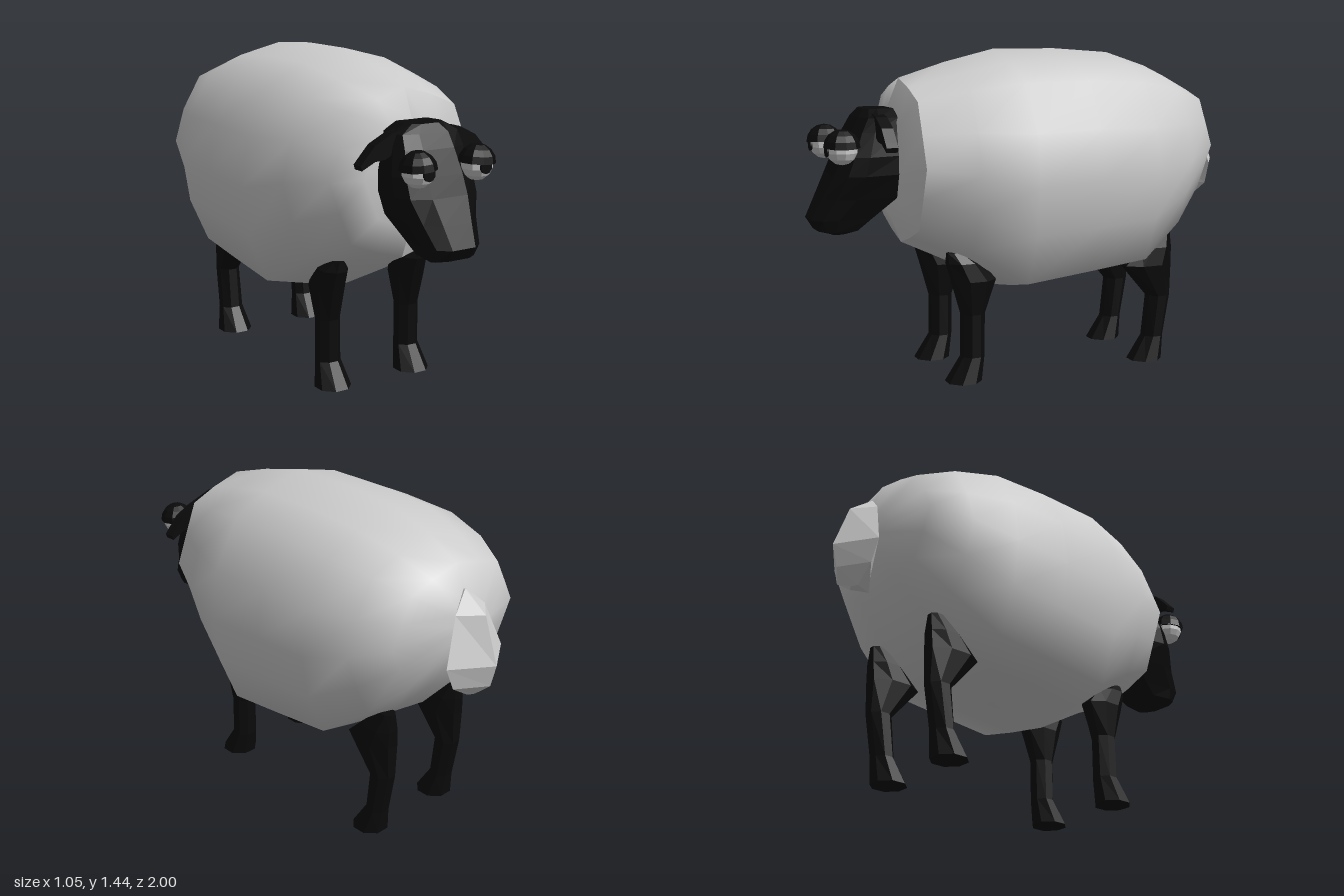
import * as THREE from 'three';

const mat = (name, color) => Object.assign(new THREE.MeshStandardMaterial({ color }), { name });

// Closed skin over rings of [x, y, z] points, capped at both ends
function loft(rings) {
  const n = rings[0].length, pos = rings.flat(2), idx = [];
  for (let r = 0; r < rings.length - 1; r++)
    for (let i = 0; i < n; i++) {
      const a = r * n + i, b = r * n + (i + 1) % n;
      idx.push(a, b, b + n, a, b + n, a + n);
    }
  [0, rings.length - 1].forEach((r, end) => {
    const c = pos.length / 3;
    for (let k = 0; k < 3; k++) pos.push(rings[r].reduce((s, p) => s + p[k], 0) / n);
    for (let i = 0; i < n; i++) {
      const a = r * n + i, b = r * n + (i + 1) % n;
      end ? idx.push(a, b, c) : idx.push(b, a, c);
    }
  });
  // Turn the faces outward by the sign of the enclosed volume
  const v = i => new THREE.Vector3().fromArray(pos, i * 3);
  let vol = 0;
  for (let i = 0; i < idx.length; i += 3) vol += v(idx[i]).dot(v(idx[i + 1]).cross(v(idx[i + 2])));
  if (vol < 0) idx.reverse();
  const g = new THREE.BufferGeometry();
  g.setAttribute('position', new THREE.Float32BufferAttribute(pos, 3));
  g.setIndex(idx);
  return g;
}

function faceted(geo) {
  const g = geo.index ? geo.toNonIndexed() : geo;
  g.computeVertexNormals();
  return g;
}

export function createModel() {
  const model = new THREE.Group();
  model.name = 'sheep';
  const wool = mat('wool', 0xcccccc), black = mat('blackSkin', 0x0a0a0a), white = mat('eyeGrey', 0xc8c8c8);
  const add = (name, geo, material, parent = model) => {
    const m = new THREE.Mesh(geo, material);
    m.name = name;
    parent.add(m);
    return m;
  };

  // Fleece: half sections, octagonal at the ends and flat-bellied in the middle
  const endShape = [[0, 1], [.38, .89], [.71, .75], [.86, .37], [1, 0], [.86, -.37], [.71, -.75], [.37, -.89], [0, -1]];
  const midShape = [[0, 1], [.4, .9], [.71, .75], [.94, .36], [1, -.05], [.94, -.45], [.77, -.85], [.4, -.93], [0, -1]];
  // z, top, bottom, half width, blend towards the middle shape
  const bodyRings = [
    [-.837, 1.12, .90, .13, 0], [-.77, 1.275, .74, .365, 0], [-.62, 1.355, .58, .46, .5],
    [-.42, 1.42, .44, .52, 1], [-.15, 1.44, .405, .523, 1], [.15, 1.44, .37, .523, 1],
    [.38, 1.385, .5, .46, .5], [.59, 1.32, .6, .365, 0], [.645, 1.19, .74, .23, 0],
  ].map(([z, top, bot, w, t]) => {
    const half = endShape.map(([x, y], i) => [
      w * THREE.MathUtils.lerp(x, midShape[i][0], t),
      (top + bot) / 2 + (top - bot) / 2 * THREE.MathUtils.lerp(y, midShape[i][1], t), z]);
    return [...half, ...half.slice(1, -1).reverse().map(([x, y, d]) => [-x, y, d])];
  });
  const body = loft(bodyRings), p = body.attributes.position, all = body.index.array;
  const skin = [], chest = [];
  for (let i = 0; i < all.length; i += 3) {
    const tri = [all[i], all[i + 1], all[i + 2]];
    const mean = f => tri.reduce((s, k) => s + f(k), 0) / 3;
    (mean(k => p.getZ(k)) > .6 && mean(k => p.getX(k)) > 0 ? chest : skin).push(...tri);
  }
  // The left chest panel keeps a hard edge, the rest is smooth
  [['fleece', skin], ['leftChest', chest]].forEach(([name, index]) => {
    const g = body.clone();
    g.setIndex(index);
    g.computeVertexNormals();
    add(name, g, wool);
  });

  // Tail: y, ridge z, side z, half width
  add('tail', faceted(loft([
    [.735, -.9, -.885, .03], [.8, -.975, -.89, .13], [.9, -1, -.885, .17],
    [1.1, -.93, -.85, .09], [1.18, -.825, -.82, .005],
  ].map(([y, back, side, w]) => [[0, y, back], [w, y, side], [0, y, -.81], [-w, y, side]]))), wool);

  // Head: y, back z, front z, half width
  add('head', faceted(loft([
    [.665, .86, .92, .085], [.68, .81, .97, .11], [.73, .75, 1, .125], [.82, .64, .955, .155],
    [.92, .635, .905, .193], [1, .635, .87, .193], [1.1, .635, .825, .17], [1.16, .635, .79, .16], [1.195, .64, .765, .09],
  ].map(([y, b, f, w]) => {
    const m = f - (f - b) * .4;
    const half = [[w * .45, y, f], [w * .85, y, f - (f - b) * .15], [w, y, m], [w * .85, y, b]];
    return [...half, ...half.slice().reverse().map(([x, h, z]) => [-x, h, z])];
  }))), black);

  const earShape = new THREE.Shape([[.1, 1.18], [.17, 1.165], [.25, 1.125], [.3, 1.07], [.318, 1.05],
    [.312, 1.03], [.25, 1.06], [.2, 1.065], [.15, 1.09]].map(q => new THREE.Vector2(...q)));
  const earGeo = new THREE.ExtrudeGeometry(earShape, { depth: .05, bevelEnabled: false });

  // Legs: y, centre z, half depth, half width
  const legGeo = rows => faceted(loft(rows.map(([y, z, d, w]) =>
    Array.from({ length: 8 }, (_, i) => {
      const a = (i + .5) * Math.PI / 4, k = 1 / Math.cos(Math.PI / 8);
      return [w * k * Math.cos(a), y, z + d * k * Math.sin(a)];
    }))));
  const frontLeg = legGeo([[0, .38, .075, .075], [.11, .337, .049, .053], [.3, .335, .05, .051],
    [.45, .33, .095, .07], [.53, .375, .075, .06], [.575, .41, .04, .025]]);
  const hindLeg = legGeo([[0, -.525, .075, .075], [.11, -.565, .046, .053], [.3, -.592, .053, .051],
    [.45, -.528, .117, .07], [.53, -.57, .078, .06], [.61, -.612, .033, .03]]);

  for (const [side, s] of [['left', 1], ['right', -1]]) {
    for (const [name, geo] of [['FrontLeg', frontLeg], ['HindLeg', hindLeg]])
      add(side + name, geo, black).position.x = s * .21;

    // Ears, each turned rather than mirrored so the faces stay outward
    const ear = add(side + 'Ear', earGeo, black);
    ear.position.z = s > 0 ? .695 : .745;
    ear.rotation.y = s > 0 ? 0 : Math.PI;

    // Eye: ball, heavy upper lid and pupil
    const eye = new THREE.Group();
    eye.name = side + 'Eye';
    eye.position.set(s * .145, 1.035, .885);
    model.add(eye);
    add('eyeball', faceted(new THREE.SphereGeometry(.066, 10, 7)), white, eye);
    const lid = add('eyelid', faceted(new THREE.SphereGeometry(.077, 10, 4, 0, Math.PI * 2, 0, Math.PI / 2)), black, eye);
    lid.rotation.z = -s * .06;
    lid.position.y = .008;
    add('lidUnderside', new THREE.CircleGeometry(.075, 10).rotateX(Math.PI / 2), black, lid);
    const pupil = add('pupil', new THREE.CylinderGeometry(.028, .028, .008, 10).rotateX(Math.PI / 2), black, eye);
    pupil.position.set(-s * .005, -.002, .064);
  }
  return model;
}
